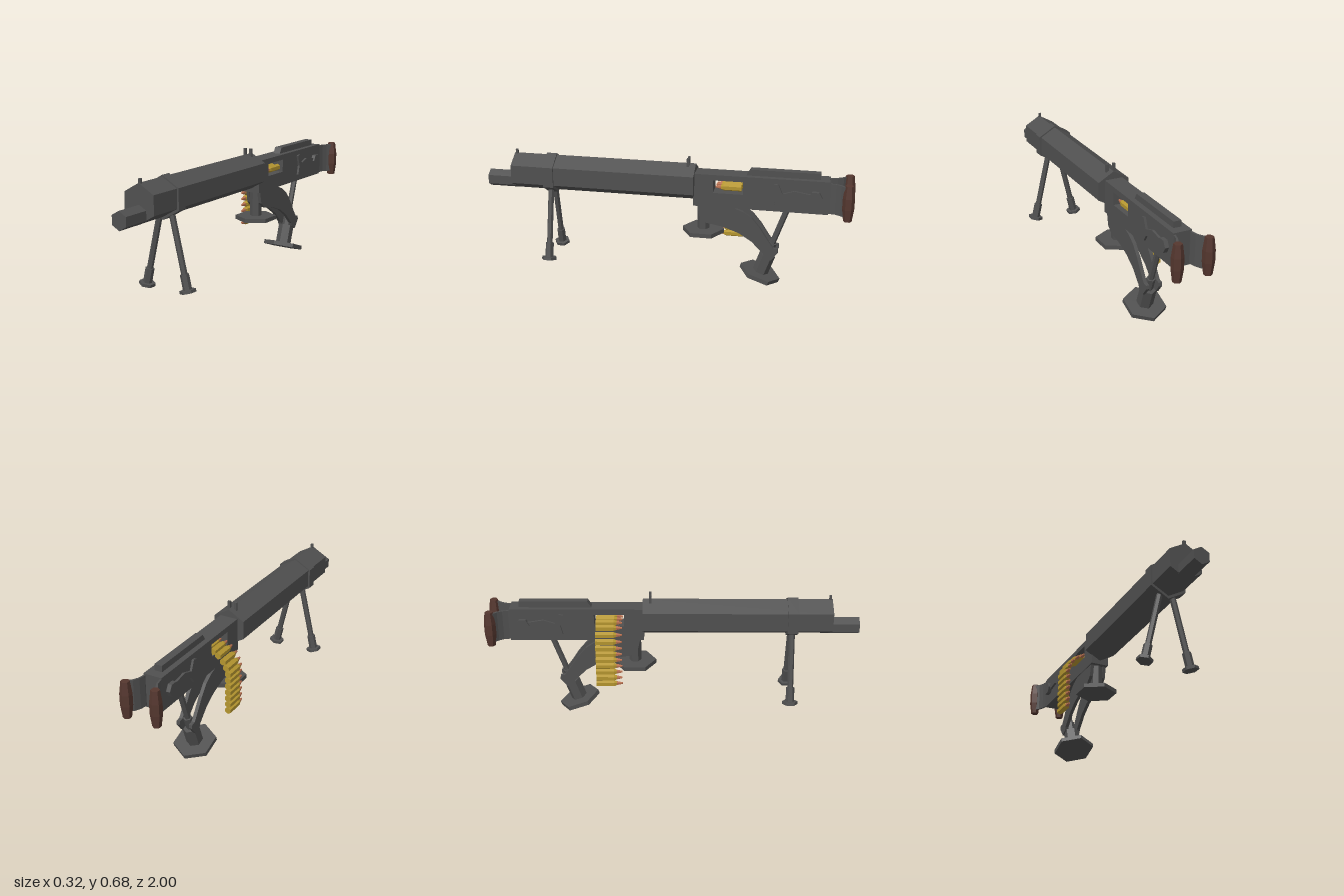
import * as THREE from 'three';

const mat = (color) => new THREE.MeshStandardMaterial({ color, flatShading: true });

export function createModel() {
  const group = new THREE.Group();
  const steel = mat(0x505050), wood = mat(0x55372f), brass = mat(0xb4952f), copper = mat(0xb87050);

  const add = (name, geo, material, x = 0, y = 0, z = 0) => {
    const mesh = new THREE.Mesh(geo, material);
    mesh.name = name;
    mesh.position.set(x, y, z);
    group.add(mesh);
    return mesh;
  };
  const box = (name, w, h, d, x, y, z) => add(name, new THREE.BoxGeometry(w, h, d), steel, x, y, z);

  // six-sided bar between two points
  const strut = (name, a, b, r, r2 = r, material = steel) => {
    const p = new THREE.Vector3(...a), q = new THREE.Vector3(...b);
    const dir = q.clone().sub(p);
    const mesh = add(name, new THREE.CylinderGeometry(r2, r, dir.length(), 6), material);
    mesh.position.copy(p).add(q).multiplyScalar(0.5);
    mesh.quaternion.setFromUnitVectors(new THREE.Vector3(0, 1, 0), dir.normalize());
    return mesh;
  };
  // six-sided bar along z with corners at top and bottom
  const hexZ = (name, r, z0, z1, x, y, material = steel, rFront = r) =>
    add(name, new THREE.CylinderGeometry(rFront, r, z1 - z0, 6).rotateX(Math.PI / 2), material, x, y, (z0 + z1) / 2);

  // side outline given as [z, y], extruded across x
  const outline = (pts) => pts.map(([z, y]) => new THREE.Vector2(-z, y));
  const plate = (name, pts, x0, x1, hole) => {
    const shape = new THREE.Shape(outline(pts));
    if (hole) shape.holes.push(new THREE.Path(outline(hole)));
    const geo = new THREE.ExtrudeGeometry(shape, { depth: x1 - x0, bevelEnabled: false });
    return add(name, geo.rotateY(Math.PI / 2), steel, x0);
  };
  const rect = (z0, z1, y0, y1) => [[z0, y0], [z1, y0], [z1, y1], [z0, y1]];

  // barrel jacket, muzzle, clamp and sights
  hexZ('barrelJacket', 0.1, -0.16, 0.85, 0, 0.547);
  hexZ('muzzle', 0.048, 0.84, 1.0, 0, 0.494);
  hexZ('bipodClamp', 0.112, 0.61, 0.667, 0, 0.544);
  box('frontSight', 0.014, 0.035, 0.012, 0, 0.649, 0.838);
  for (const s of [-1, 1]) box('rearSightPost', 0.015, 0.06, 0.012, s * 0.019, 0.647, -0.12);

  // receiver with feed window, top cover
  plate('receiver', rect(-0.155, -0.87, 0.425, 0.605), -0.05, 0.05, rect(-0.26, -0.42, 0.505, 0.575));
  plate('topCover', [[-0.43, 0.6], [-0.455, 0.638], [-0.82, 0.638], [-0.82, 0.6]], -0.021, 0.021);

  for (const s of [-1, 1]) {
    // lever on the side of the receiver
    const inner = s > 0 ? 0.045 : -0.062;
    plate('sideLever', [
      [-0.8, 0.502], [-0.76, 0.505], [-0.69, 0.515], [-0.63, 0.492], [-0.61, 0.457], [-0.587, 0.463],
      [-0.6, 0.515], [-0.582, 0.575], [-0.605, 0.58], [-0.628, 0.527], [-0.69, 0.547], [-0.76, 0.535], [-0.8, 0.535],
    ], inner, inner + 0.017);
    add('leverKnob', new THREE.CylinderGeometry(0.037, 0.037, 0.03, 6).rotateZ(Math.PI / 2), steel, s * 0.057, 0.518, -0.8);

    // flared grip arm and spade grip
    const arm = [[0.05, -0.84], [0.05, -0.875], [0.056, -0.905], [0.07, -0.93], [0.09, -0.95],
      [0.084, -0.957], [0.062, -0.938], [0.047, -0.908], [0.04, -0.875], [0.04, -0.84]];
    const armShape = new THREE.Shape(arm.map(([x, z]) => new THREE.Vector2(s * x, z)));
    const armGeo = new THREE.ExtrudeGeometry(armShape, { depth: 0.165, bevelEnabled: false });
    add('gripArm', armGeo.rotateX(Math.PI / 2), steel, 0, 0.597, 0);
    const grip = [[0, -0.097], [0.022, -0.097], [0.031, -0.03], [0.031, 0.03], [0.022, 0.097], [0, 0.097]];
    add('spadeGrip', new THREE.LatheGeometry(grip.map((p) => new THREE.Vector2(...p)), 6), wood, s * 0.083, 0.508, -0.97);

    // front bipod leg with sleeve and foot
    const top = new THREE.Vector3(s * 0.035, 0.465, 0.64), end = new THREE.Vector3(s * 0.125, 0.083, 0.64);
    const along = (t) => top.clone().lerp(end, t).toArray();
    strut('bipodLeg', along(0), along(1), 0.016);
    strut('bipodSleeve', along(0.78), along(1), 0.023);
    strut('bipodFoot', along(0.98), along(1.02), 0.042);

    // curved support arm below the receiver
    const x0 = s > 0 ? 0.027 : -0.046;
    plate('supportArm', [
      [-0.175, 0.43], [-0.19, 0.36], [-0.225, 0.33], [-0.313, 0.315], [-0.4, 0.285], [-0.473, 0.24],
      [-0.537, 0.176], [-0.545, 0.155], [-0.58, 0.137], [-0.617, 0.185], [-0.615, 0.205], [-0.59, 0.21],
      [-0.555, 0.26], [-0.516, 0.32], [-0.47, 0.375], [-0.425, 0.405], [-0.36, 0.43],
    ], x0, x0 + 0.019);
  }

  // front foot below the receiver
  strut('frontPost', [0, 0.275, -0.205], [0, 0.43, -0.205], 0.033);
  strut('frontPad', [0, 0.262, -0.205], [0, 0.285, -0.205], 0.114);

  // slanted rear leg
  const rearTop = new THREE.Vector3(0, 0.435, -0.658), rearEnd = new THREE.Vector3(0, 0.035, -0.517);
  const rear = (t) => rearTop.clone().lerp(rearEnd, t).toArray();
  strut('rearLeg', rear(0), rear(0.8), 0.016);
  strut('rearCollar', rear(0.53), rear(0.8), 0.024);
  strut('rearSleeve', rear(0.7), rear(0.99), 0.044);
  strut('rearPad', rear(0.955), rear(1.01), 0.113);

  // cartridge belt passing through the window and hanging on the right
  const belt = [[0.022, 0.532], [-0.014, 0.532], [-0.05, 0.528], [-0.08, 0.512], [-0.108, 0.484],
    [-0.126, 0.452], [-0.136, 0.419]];
  for (let i = 0; i < 6; i++) belt.push([-0.135, 0.384 - i * 0.0352]);
  for (const [x, y] of belt) {
    hexZ('cartridgeCase', 0.0185, -0.41, -0.315, x, y, brass);
    hexZ('cartridgeNeck', 0.0185, -0.315, -0.3, x, y, brass, 0.0125);
    hexZ('bullet', 0.0125, -0.3, -0.27, x, y, copper, 0.005);
  }
  return group;
}
